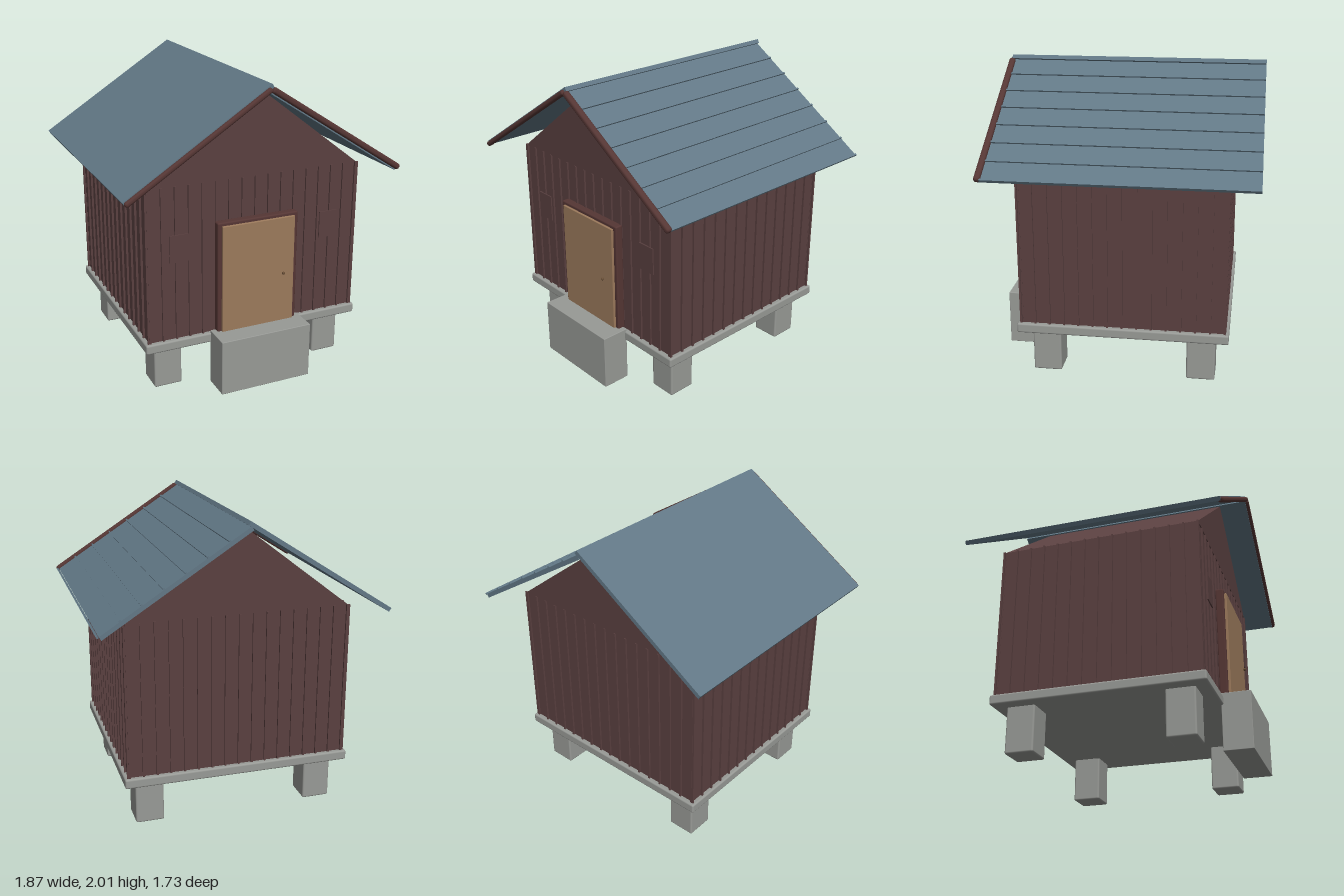
import * as THREE from 'three';
import { RoundedBoxGeometry } from 'three/addons/geometries/RoundedBoxGeometry.js';

const material = (name, color) => {
  const m = new THREE.MeshStandardMaterial({ color });
  m.name = name;
  return m;
};

export function createModel() {
  const wood = material('dark red wood', 0x5a4040);
  const trim = material('trim wood', 0x553634);
  const roofBlue = material('blue grey metal', 0x627886);
  const stone = material('grey stone', 0x989a96);
  const doorTan = material('tan door', 0x9c7a5c);
  const brass = material('dark brass', 0x6a5038);

  const model = new THREE.Group();
  model.name = 'hut';

  const add = (name, geometry, mat, parent = model) => {
    const mesh = new THREE.Mesh(geometry, mat);
    mesh.name = name;
    parent.add(mesh);
    return mesh;
  };
  // Box given by its limits on each axis; a radius rounds its edges
  const box = (name, mat, [x0, x1], [y0, y1], [z0, z1], radius = 0, parent = model) => {
    const size = [x1 - x0, y1 - y0, z1 - z0];
    const geometry = radius
      ? new RoundedBoxGeometry(...size, 2, radius)
      : new THREE.BoxGeometry(...size);
    const mesh = add(name, geometry, mat, parent);
    mesh.position.set((x0 + x1) / 2, (y0 + y1) / 2, (z0 + z1) / 2);
    return mesh;
  };

  // Footings, floor slab and front step
  for (const x of [-0.585, 0.585]) {
    for (const z of [-0.52, 0.5]) {
      box('footing', stone, [x - 0.094, x + 0.094], [0, 0.31], [z - 0.094, z + 0.094], 0.012);
    }
  }
  box('floorSlab', stone, [-0.76, 0.76], [0.3, 0.365], [-0.7, 0.68], 0.012);
  box('frontStep', stone, [-0.317, 0.317], [0.005, 0.38], [0.665, 0.855], 0.004);

  // Walls
  const front = 0.65, back = -0.67, side = 0.73, eave = 1.39;
  box('walls', wood, [-side, side], [0.36, eave], [back, front]);

  // Thin vertical battens on all four walls
  const battens = new THREE.Group();
  battens.name = 'battens';
  model.add(battens);
  const half = 0.006;
  for (let i = -8; i <= 8; i++) {
    const x = i * 0.0907;
    box('frontBatten', wood, [x - half, x + half], [0.365, eave], [front - 0.01, front + 0.012], 0, battens);
    box('backBatten', wood, [x - half, x + half], [0.365, eave], [back - 0.012, back + 0.01], 0, battens);
  }
  for (let i = 0; i < 15; i++) {
    const z = 0.655 - i * 0.0949;
    for (const s of [-1, 1]) {
      const x = s * (side + 0.003);
      box('sideBatten', wood, [x - 0.011, x + 0.011], [0.365, eave], [z - half, z + half], 0, battens);
    }
  }

  // Gable prism between the walls and the roof
  const gableShape = new THREE.Shape();
  gableShape.moveTo(-side, eave);
  gableShape.lineTo(side, eave);
  gableShape.lineTo(0, 1.953);
  gableShape.closePath();
  const gable = add('gable', new THREE.ExtrudeGeometry(gableShape, {
    depth: front - back + 0.012, bevelEnabled: false,
  }), wood);
  gable.position.z = back - 0.006;

  // Door with frame and knob
  box('door', doorTan, [-0.254, 0.254], [0.37, 1.105], [0.65, 0.72], 0.004);
  for (const s of [-1, 1]) {
    box('doorPost', trim, [s * 0.265 - 0.017, s * 0.265 + 0.017], [0.37, 1.125], [0.65, 0.705], 0.01);
  }
  box('doorLintel', trim, [-0.282, 0.282], [1.09, 1.127], [0.65, 0.705], 0.01);
  add('doorKnob', new THREE.SphereGeometry(0.01, 16, 12), brass).position.set(0.17, 0.725, 0.738);

  // Small plates either side of the door
  for (const s of [-1, 1]) {
    box('wallPlate', wood, [s * 0.527 - 0.064, s * 0.527 + 0.064], [0.9, 1.08], [0.664, 0.672]);
  }

  // Roof slopes: each group's x axis runs down its slope from the ridge
  const pitch = Math.atan(0.64);
  const slope = (name, s, ridgeY) => {
    const group = new THREE.Group();
    group.name = name;
    group.position.set(0, ridgeY, 0);
    group.rotation.z = -s * pitch;
    model.add(group);
    return group;
  };
  const span = (s, a, b) => (s > 0 ? [a, b] : [-b, -a]);

  const left = slope('rightRoof', -1, 2.003);
  box('roofPanel', roofBlue, span(-1, -0.004, 1.112), [-0.028, 0], [-0.867, 0.843], 0, left);
  box('bargeBoard', trim, span(-1, 0.015, 1.112), [-0.04, -0.006], [0.825, 0.864], 0.015, left);

  const right = slope('leftRoof', 1, 1.975);
  box('roofPanel', roofBlue, span(1, 0, 1.09), [-0.028, 0], [-0.867, 0.843], 0, right);
  box('bargeBoard', trim, span(1, 0.004, 1.105), [-0.02, 0.02], [0.822, 0.864], 0.017, right);

  // Standing seams on the model's left slope
  for (let i = 1; i <= 7; i++) {
    const d = i * 0.1575 - 0.004;
    box('roofSeam', roofBlue, [d - 0.006, d + 0.006], [-0.004, 0.01], [-0.867, 0.83], 0, right);
  }

  return model;
}
